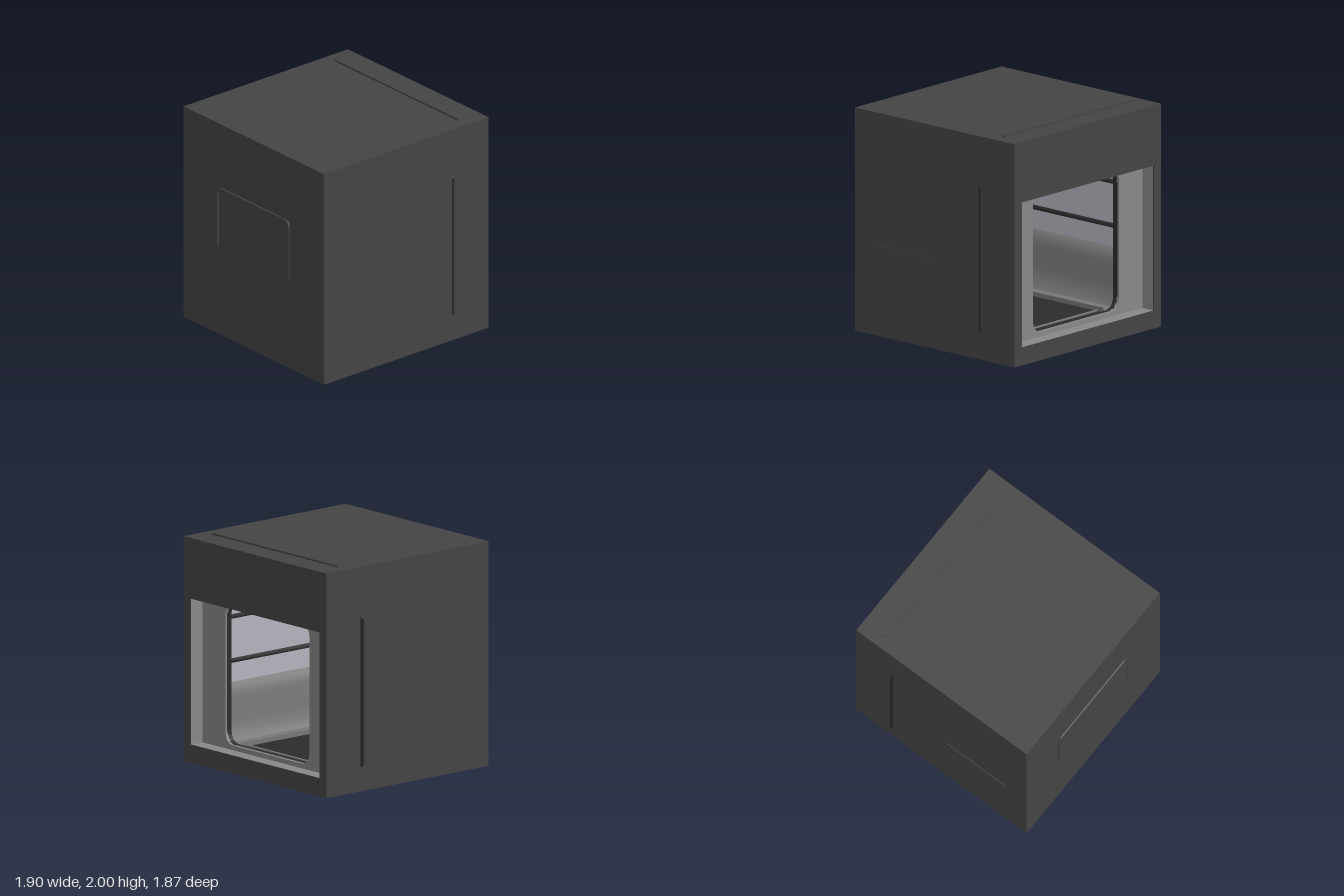
import * as THREE from 'three';

const DARK = 0x444444, MID = 0x777777, LIGHT = 0xb4b4be, BLACK = 0x2c2c2c, FRAME = 0x888888;
const BACK = -0.8; // plane of the doorway wall

const mat = (color) => new THREE.MeshStandardMaterial({ color, side: THREE.DoubleSide });

function add(parent, name, geometry, color, x = 0, y = 0, z = 0) {
  const mesh = new THREE.Mesh(geometry, mat(color));
  mesh.name = name;
  mesh.position.set(x, y, z);
  parent.add(mesh);
  return mesh;
}

// box given by its lower and upper corners
function slab(parent, name, color, a, b) {
  const size = a.map((v, i) => b[i] - v);
  const mid = a.map((v, i) => (v + b[i]) / 2);
  return add(parent, name, new THREE.BoxGeometry(...size), color, ...mid);
}

// rectangle with rounded corners (or chamfered ones when cut is true)
function roundRect(Type, x0, y0, x1, y1, r, cut = false) {
  const s = new Type();
  const corner = (cx, cy, x, y) => (cut ? s.lineTo(x, y) : s.quadraticCurveTo(cx, cy, x, y));
  s.moveTo(x0 + r, y0);
  s.lineTo(x1 - r, y0); corner(x1, y0, x1, y0 + r);
  s.lineTo(x1, y1 - r); corner(x1, y1, x1 - r, y1);
  s.lineTo(x0 + r, y1); corner(x0, y1, x0, y1 - r);
  s.lineTo(x0, y0 + r); corner(x0, y0, x0 + r, y0);
  return s;
}

function ringPlate(outer, hole, depth) {
  outer.holes.push(hole);
  return new THREE.ExtrudeGeometry(outer, { depth, bevelEnabled: false, curveSegments: 8 });
}

// wall running round the sides and front; each ring is [height, half width, front z, corner radius]
function wallBand(rings) {
  const steps = 10, pos = [], idx = [];
  let n = 0;
  for (const [y, hx, zf, r] of rings) {
    const half = [[hx, BACK]];
    for (let i = 0; i <= steps; i++) {
      const t = (i / steps) * Math.PI / 2;
      half.push([hx - r + r * Math.cos(t), zf - r + r * Math.sin(t)]);
    }
    const ring = [...half, ...half.slice().reverse().map(([x, z]) => [-x, z])];
    n = ring.length;
    ring.forEach(([x, z]) => pos.push(x, y, z));
  }
  for (let j = 0; j < rings.length - 1; j++) {
    for (let i = 0; i < n - 1; i++) {
      const a = j * n + i, b = a + n;
      idx.push(a, a + 1, b, a + 1, b + 1, b);
    }
  }
  const g = new THREE.BufferGeometry();
  g.setAttribute('position', new THREE.Float32BufferAttribute(pos, 3));
  g.setIndex(idx);
  g.computeVertexNormals();
  return g;
}

export function createModel() {
  const model = new THREE.Group();
  model.name = 'room';

  // outer casing
  const casing = new THREE.Group();
  casing.name = 'casing';
  model.add(casing);
  const X0 = -0.93, X1 = 0.94, H = 1.985, Z0 = -0.94, Z1 = 0.915, T = 0.01;
  slab(casing, 'base', DARK, [X0, 0, Z0], [X1, T, Z1]);
  slab(casing, 'roof', DARK, [X0, H - T, Z0], [X1, H, Z1]);
  slab(casing, 'rightSide', DARK, [X0, 0, Z0], [X0 + T, H, Z1]);
  slab(casing, 'leftSide', DARK, [X1 - T, 0, Z0], [X1, H, Z1]);
  slab(casing, 'front', DARK, [X0, 0, Z1 - T], [X1, H, Z1]);
  add(casing, 'backPanel', ringPlate(
    roundRect(THREE.Shape, X0, 0, X1, H, 0, true),
    roundRect(THREE.Path, -0.84, 0.16, 0.845, 1.45, 0, true), T), DARK, 0, 0, Z0);

  // doorway: deep square reveal, then a wall with a rounded opening
  add(model, 'doorReveal', ringPlate(
    roundRect(THREE.Shape, -0.87, 0.13, 0.875, 1.48, 0, true),
    roundRect(THREE.Path, -0.84, 0.16, 0.845, 1.45, 0, true), 0.13), FRAME, 0, 0, Z0 + 0.005);
  add(model, 'doorWall', ringPlate(
    roundRect(THREE.Shape, -0.91, 0.05, 0.91, 1.93, 0, true),
    roundRect(THREE.Path, -0.55, 0.2, 0.55, 1.44, 0.12), 0.03), FRAME, 0, 0, BACK);
  add(model, 'doorTrim', ringPlate(
    roundRect(THREE.Shape, -0.58, 0.17, 0.58, 1.47, 0.14),
    roundRect(THREE.Path, -0.55, 0.2, 0.55, 1.44, 0.12), 0.05), BLACK, 0, 0, BACK + 0.02);

  // floor with a chamfered raised border
  slab(model, 'floor', BLACK, [-0.9, 0.06, BACK], [0.9, 0.09, 0.88]);
  const border = add(model, 'floorBorder', ringPlate(
    roundRect(THREE.Shape, -0.9, -0.88, 0.9, 0.8, 0.05),
    roundRect(THREE.Path, -0.7, -0.6, 0.7, 0.66, 0.18, true), 0.05), MID, 0, 0.09, 0);
  border.rotation.x = -Math.PI / 2;
  border.position.y = 0.08;
  for (const z of [-0.5, -0.42]) slab(model, 'floorStrip', MID, [-0.7, 0.09, z], [0.7, 0.1, z + 0.025]);

  // walls: sloping skirt, pale panels, rounded cove
  add(model, 'skirt', wallBand([
    [0.13, 0.78, 0.78, 0.2], [0.2, 0.82, 0.81, 0.2], [0.3, 0.84, 0.83, 0.2],
    [0.5, 0.85, 0.84, 0.2], [0.58, 0.87, 0.86, 0.2], [0.62, 0.91, 0.9, 0.2]]), MID);
  add(model, 'wallPanels', wallBand([[0.62, 0.91, 0.9, 0.2], [1.5, 0.91, 0.9, 0.2]]), LIGHT);
  add(model, 'cove', wallBand([
    [1.5, 0.91, 0.9, 0.2], [1.5, 0.84, 0.83, 0.2], [1.56, 0.81, 0.8, 0.2],
    [1.66, 0.78, 0.77, 0.2], [1.76, 0.74, 0.73, 0.2], [1.84, 0.66, 0.66, 0.2], [1.88, 0.56, 0.56, 0.2]]), MID);
  for (const y of [0.81, 1.2]) {
    add(model, 'wallRail', wallBand([
      [y - 0.02, 0.91, 0.9, 0.2], [y - 0.015, 0.89, 0.88, 0.2],
      [y + 0.015, 0.89, 0.88, 0.2], [y + 0.02, 0.91, 0.9, 0.2]]), BLACK);
  }

  // ceiling with a framed recess
  slab(model, 'ceiling', DARK, [-0.9, 1.9, BACK], [0.9, 1.92, 0.88]);
  const light = add(model, 'ceilingFrame', ringPlate(
    roundRect(THREE.Shape, -0.6, -0.6, 0.6, 0.76, 0.15, true),
    roundRect(THREE.Path, -0.4, -0.42, 0.4, 0.5, 0.12, true), 0.05), MID, 0, 1.86, 0);
  light.rotation.x = -Math.PI / 2;
  slab(model, 'ceilingPanel', BLACK, [-0.28, 1.87, -0.38], [0.28, 1.9, 0.3]);

  // side ribs near the doorway and shelf edges, just breaking through the casing
  for (const s of [-1, 1]) {
    const rib = new THREE.Shape([[0.86, 0.15], [0.95, 0.245], [0.95, 1.53], [0.86, 1.62]]
      .map(([x, y]) => new THREE.Vector2(s * x - 0.005, y)));
    add(model, 'sideRib', new THREE.ExtrudeGeometry(rib, { depth: 0.022, bevelEnabled: false }),
      BLACK, 0, 0, -0.55);
    slab(model, 'shelfEdge', DARK, [s * 0.9375 + 0.005 - 0.004, 0.803, 0.05], [s * 0.9375 + 0.005 + 0.004, 0.813, 0.69]);
    // small square fitting low on the front wall
    slab(model, 'wallFitting', BLACK, [s * 0.65 - 0.08, 0.2, 0.78], [s * 0.65 + 0.08, 0.46, 0.83]);
    slab(model, 'fittingPlate', FRAME, [s * 0.65 - 0.045, 0.26, 0.77], [s * 0.65 + 0.045, 0.4, 0.79]);
  }
  slab(model, 'roofRib', DARK, [-0.82, 1.93, -0.715], [0.82, 2, -0.69]);

  // rounded arch showing on the front
  const arch = new THREE.CurvePath();
  const v = (x, y) => new THREE.Vector3(x + 0.005, y, 0.917);
  const left = v(-0.475, 0.83), r = 0.06;
  arch.add(new THREE.LineCurve3(left, v(-0.475, 1.38 - r)));
  arch.add(new THREE.QuadraticBezierCurve3(v(-0.475, 1.38 - r), v(-0.475, 1.38), v(-0.475 + r, 1.38)));
  arch.add(new THREE.LineCurve3(v(-0.475 + r, 1.38), v(0.475 - r, 1.38)));
  arch.add(new THREE.QuadraticBezierCurve3(v(0.475 - r, 1.38), v(0.475, 1.38), v(0.475, 1.38 - r)));
  arch.add(new THREE.LineCurve3(v(0.475, 1.38 - r), v(0.475, 0.83)));
  add(model, 'frontArch', new THREE.TubeGeometry(arch, 80, 0.011, 6), DARK);

  return model;
}
